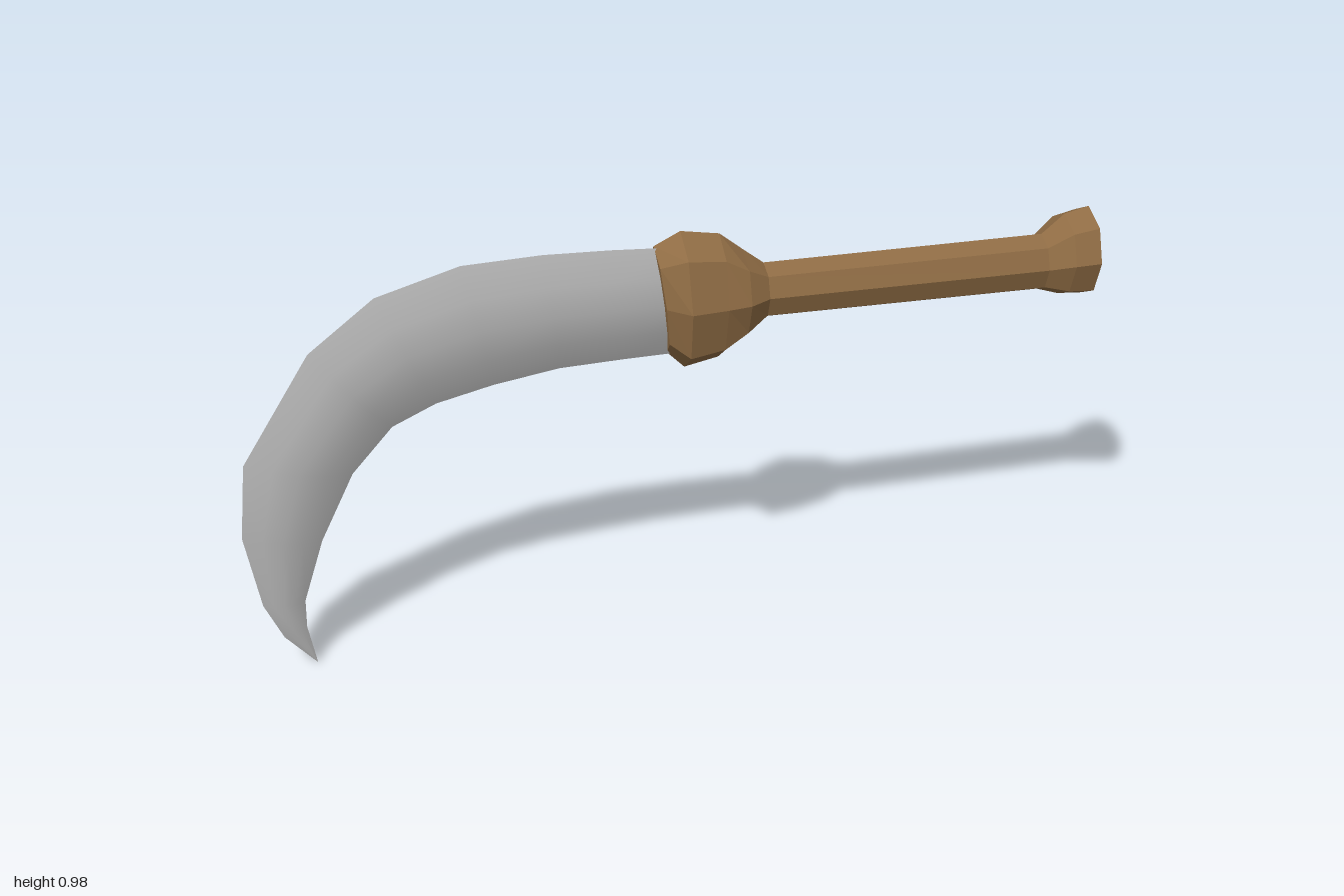
import * as THREE from 'three';

// Joins a grid of points (rows x columns) into an indexed surface
function surface(rows, flip = false) {
  const cols = rows[0].length;
  const index = [];
  for (let i = 0; i < rows.length - 1; i++) {
    for (let j = 0; j < cols - 1; j++) {
      const a = i * cols + j, b = a + cols, c = b + 1, d = a + 1;
      if (flip) index.push(a, d, c, a, c, b);
      else index.push(a, b, c, a, c, d);
    }
  }
  const geometry = new THREE.BufferGeometry();
  geometry.setAttribute('position', new THREE.Float32BufferAttribute(rows.flat(2), 3));
  geometry.setIndex(index);
  geometry.computeVertexNormals();
  return geometry;
}

// Faceted eight-sided loft along x; ring = [x, centreY, centreZ, radiusY, radiusZ, lean]
function octagonLoft(rings) {
  const rows = rings.map(([x, cy, cz, ry, rz, lean = 0]) => {
    const row = [];
    for (let k = 0; k <= 8; k++) {
      const a = (k / 8) * Math.PI * 2;
      row.push([x - lean * Math.cos(a), cy + ry * Math.cos(a), cz + rz * Math.sin(a)]);
    }
    return row;
  });
  const geometry = surface(rows, true).toNonIndexed();
  geometry.computeVertexNormals();
  return geometry;
}

export function createModel() {
  const group = new THREE.Group();
  const wood = new THREE.MeshStandardMaterial({ color: 0x8f6c44 });
  const steel = new THREE.MeshStandardMaterial({ color: 0xb2b2b2 });

  const add = (name, geometry, material) => {
    const mesh = new THREE.Mesh(geometry, material);
    mesh.name = name;
    group.add(mesh);
  };

  // Guard: closed collar swelling out, then narrowing to the grip
  add('guard', octagonLoft([
    [-0.035, 0.82, 0.005, 0, 0],
    [-0.035, 0.82, 0.005, 0.13, 0.06, 0.015],
    [0.015, 0.816, 0.008, 0.165, 0.095, 0.005],
    [0.1, 0.816, 0.006, 0.15, 0.088],
    [0.155, 0.818, 0.005, 0.105, 0.084],
    [0.205, 0.819, 0.003, 0.066, 0.058],
  ]), wood);

  // Grip
  add('grip', octagonLoft([
    [0.205, 0.819, 0.003, 0.066, 0.058],
    [0.885, 0.815, -0.005, 0.069, 0.06],
  ]), wood);

  // Pommel: flared end with a hollow cup
  add('pommel', octagonLoft([
    [0.885, 0.815, -0.005, 0.069, 0.06],
    [0.94, 0.828, -0.007, 0.1, 0.088],
    [1, 0.832, -0.008, 0.109, 0.095],
    [0.95, 0.828, -0.004, 0.082, 0.07],
    [0.9, 0.82, 0.005, 0.06, 0.05],
    [0.9, 0.82, 0.005, 0, 0],
  ]), wood);

  // Blade stations: outer edge x, y, inner edge x, y, half thickness
  const stations = [
    [0, 0.945, 0, 0.69, 0.032],
    [-0.15, 0.953, -0.12, 0.688, 0.034],
    [-0.3, 0.957, -0.27, 0.683, 0.036],
    [-0.48, 0.95, -0.42, 0.66, 0.036],
    [-0.67, 0.895, -0.55, 0.63, 0.035],
    [-0.82, 0.78, -0.65, 0.585, 0.033],
    [-0.98, 0.53, -0.745, 0.48, 0.029],
    [-1, 0.35, -0.825, 0.32, 0.023],
    [-0.97, 0.17, -0.875, 0.17, 0.015],
    [-0.93, 0.08, -0.877, 0.1, 0.009],
    [-0.86, 0, -0.86, 0, 0],
  ];
  const bulge = [0, 0.78, 1, 0.78, 0];

  // Two smooth curved faces meeting at sharp edges
  for (const side of [1, -1]) {
    const rows = stations.map(([ox, oy, ix, iy, h]) => bulge.map((b, j) => {
      const t = j / (bulge.length - 1);
      return [ox + (ix - ox) * t, oy + (iy - oy) * t, 0.012 + side * h * b];
    }));
    add(side > 0 ? 'bladeFront' : 'bladeBack', surface(rows, side < 0), steel);
  }
  return group;
}
